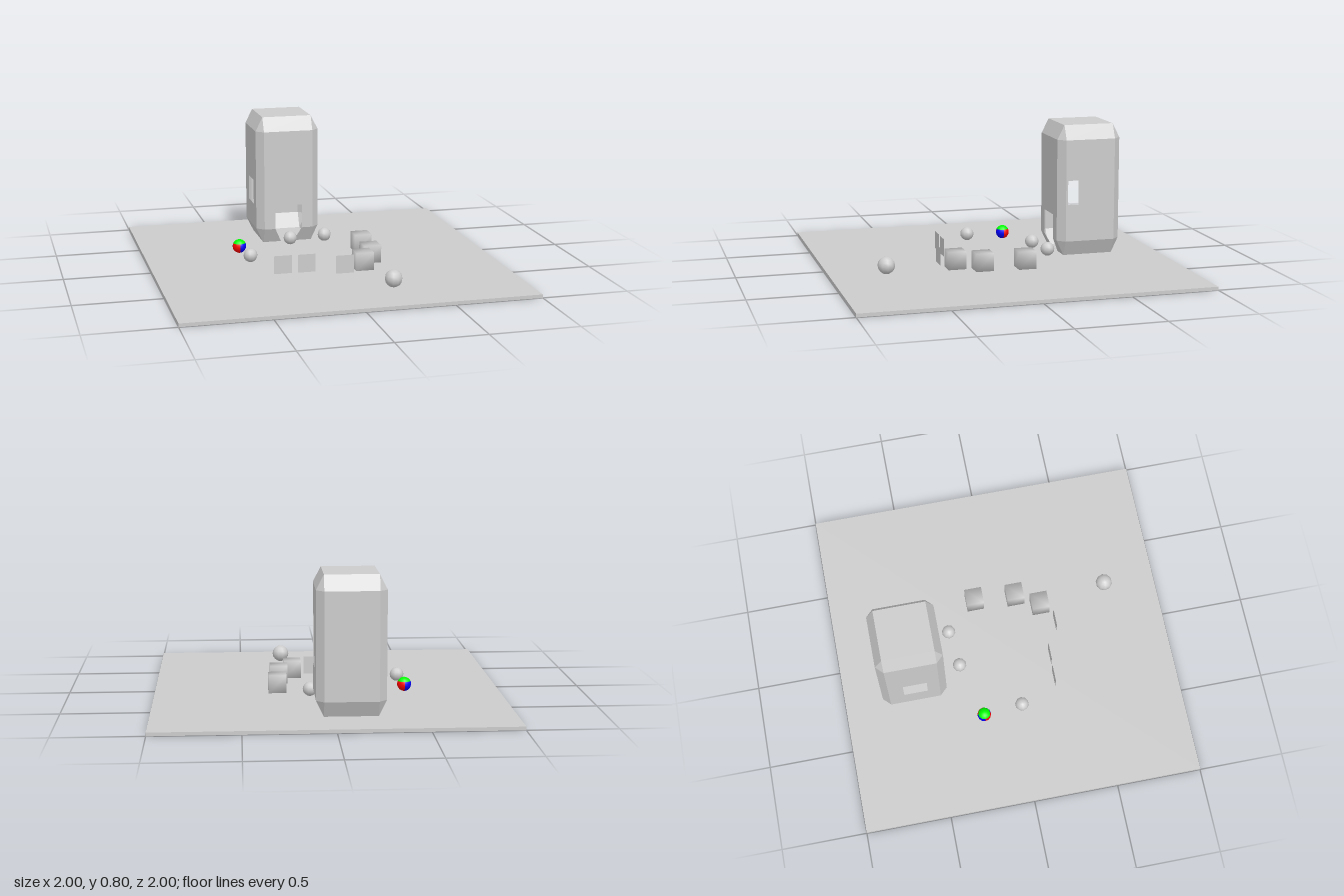
import * as THREE from 'three';
import { mergeVertices } from 'three/addons/utils/BufferGeometryUtils.js';

const grey = new THREE.MeshStandardMaterial({ color: 0xcccccc });
const thin = new THREE.MeshStandardMaterial({ color: 0xcccccc, side: THREE.DoubleSide });
const faceted = new THREE.MeshStandardMaterial({ color: 0xcccccc, side: THREE.DoubleSide, flatShading: true });

function add(parent, name, geometry, material, x = 0, y = 0, z = 0) {
  const mesh = new THREE.Mesh(geometry, material);
  mesh.name = name;
  mesh.position.set(x, y, z);
  parent.add(mesh);
  return mesh;
}

// Flat convex polygon from corners in counter-clockwise order
function polygon(...corners) {
  const g = new THREE.BufferGeometry();
  g.setAttribute('position', new THREE.Float32BufferAttribute(corners.flat(), 3));
  const index = [];
  for (let i = 1; i < corners.length - 1; i++) index.push(0, i, i + 1);
  g.setIndex(index);
  g.computeVertexNormals();
  return g;
}

const outline = (pts) => pts.map(([x, y]) => new THREE.Vector2(x, y));

// Hollow tower with chamfered edges, a door in front and a window on each flank
function createTower() {
  const tower = new THREE.Group();
  tower.name = 'tower';
  const H = 0.193, W = 0.15;                  // outer half width, flat half width
  const y0 = 0.02, y1 = 0.11, y2 = 0.715, y3 = 0.8;
  const D = 0.083, doorTop = 0.255, lip = 0.04;
  const windows = {
    1: [-0.138, -0.018, 0.26, 0.54],
    3: [-0.062, 0.078, 0.25, 0.4],
  };
  for (let i = 0; i < 4; i++) {
    const side = new THREE.Group();
    side.name = ['frontSide', 'leftSide', 'backSide', 'rightSide'][i];
    side.rotation.y = i * Math.PI / 2;
    tower.add(side);

    const doorway = i === 0 ? [[D, y1], [D, doorTop], [-D, doorTop], [-D, y1]].reverse() : [];
    const wall = new THREE.Shape(outline([[-W, y1], ...doorway, [W, y1], [W, y2], [-W, y2]]));
    if (windows[i]) {
      const [a, b, c, d] = windows[i];
      wall.holes.push(new THREE.Path(outline([[a, c], [a, d], [b, d], [b, c]])));
    }
    add(side, 'wall', new THREE.ShapeGeometry(wall), faceted, 0, 0, H);

    add(side, 'topChamfer', polygon([-W, y2, H], [W, y2, H], [W, y3, W], [-W, y3, W]), faceted);
    add(side, 'cornerChamfer', polygon([W, y1, H], [H, y1, W], [H, y2, W], [W, y2, H]), faceted);
    add(side, 'topCorner', polygon([W, y2, H], [H, y2, W], [W, y3, W]), faceted);
    add(side, 'bottomCorner', polygon([W, y1, H], [W, y0, W], [H, y1, W]), faceted);
    if (i === 0) {
      // Chamfer broken by the doorway, leaving a pointed lip on each side
      add(side, 'doorLip', polygon([-W, y0, W], [-lip, y0, W], [-D, y1, H], [-W, y1, H]), faceted);
      add(side, 'doorLip', polygon([lip, y0, W], [W, y0, W], [W, y1, H], [D, y1, H]), faceted);
    } else {
      add(side, 'bottomChamfer', polygon([-W, y0, W], [W, y0, W], [W, y1, H], [-W, y1, H]), faceted);
    }
  }
  add(tower, 'roof', polygon([-W, y3, W], [W, y3, W], [W, y3, -W], [-W, y3, -W]), faceted);
  tower.position.set(-0.095, 0, -0.578);
  return tower;
}

// Ball with a green cap and alternating red and blue quarters
function createColouredBall(r) {
  const ball = new THREE.Group();
  ball.name = 'colouredBall';
  const paint = (color) => new THREE.MeshStandardMaterial({ color });
  const red = paint(0xff0000), green = paint(0x00ff00), blue = paint(0x0000ff);
  const cap = 1.1;
  add(ball, 'cap', new THREE.SphereGeometry(r, 12, 4, 0, Math.PI * 2, 0, cap), green);
  for (let i = 0; i < 4; i++) {
    const quarter = new THREE.SphereGeometry(r, 3, 6, i * Math.PI / 2, Math.PI / 2, cap, Math.PI - cap);
    add(ball, 'quarter', quarter, i % 2 ? blue : red);
  }
  return ball;
}

export function createModel() {
  const model = new THREE.Group();
  model.name = 'playground';

  add(model, 'ground', new THREE.BoxGeometry(2, 0.02, 2), grey, 0, 0.01, 0);
  model.add(createTower());

  // Flat patch lying on the ground
  const patch = add(model, 'groundPatch', new THREE.PlaneGeometry(0.28, 0.37), thin, 0.735, 0.0215, 0.165);
  patch.rotation.x = -Math.PI / 2;

  // Cubes shaded smoothly across their edges
  let cube = new THREE.BoxGeometry(0.104, 0.104, 0.104);
  cube.deleteAttribute('normal');
  cube.deleteAttribute('uv');
  cube = mergeVertices(cube);
  cube.computeVertexNormals();
  for (const [x, z] of [[0.29, -0.118], [0.275, 0.13], [0.19, 0.27]]) add(model, 'cube', cube, grey, x, 0.073, z);

  // Thin upright panels facing the front
  const panel = new THREE.PlaneGeometry(0.105, 0.106);
  for (const [x, z] of [[-0.281, 0.262], [-0.142, 0.266], [0.064, 0.34]]) add(model, 'panel', panel, thin, x, 0.073, z);

  // Grey balls
  for (const [x, y, z, r] of [
    [-0.423, 0.078, 0.038, 0.041], [-0.11, 0.078, -0.283, 0.041],
    [0.11, 0.078, -0.31, 0.041], [0.247, 0.076, 0.685, 0.05],
  ]) add(model, 'ball', new THREE.SphereGeometry(r, 10, 8), grey, x, y, z);

  const coloured = createColouredBall(0.041);
  coloured.position.set(-0.442, 0.072, -0.195);
  model.add(coloured);
  return model;
}
